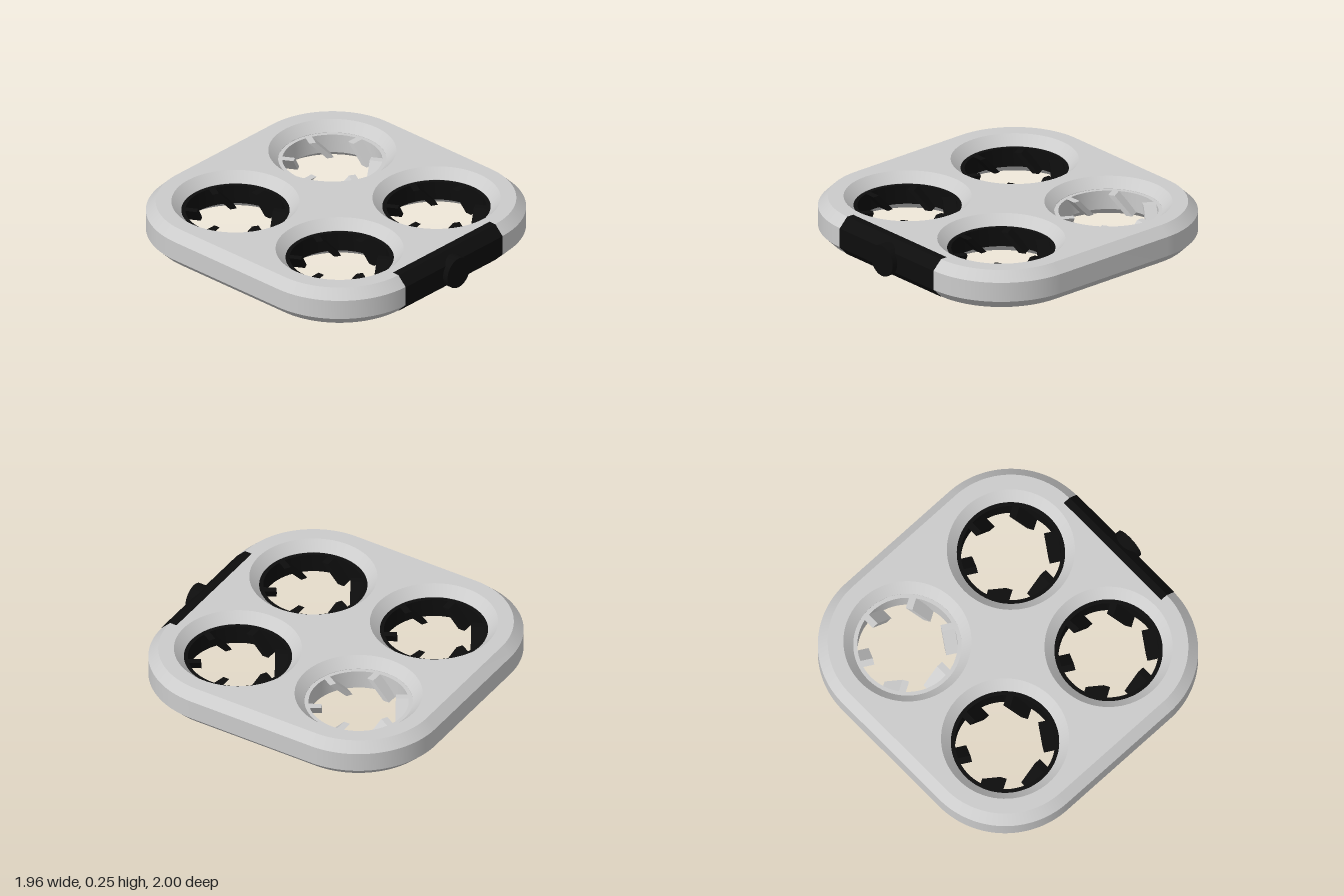
import * as THREE from 'three';
import { toCreasedNormals } from 'three/addons/utils/BufferGeometryUtils.js';

const H = 0.246, BEVEL = 0.06, CZ = -0.02, SPACING = 0.433;
const grey = new THREE.MeshStandardMaterial({ color: 0xcccccc });
const black = new THREE.MeshStandardMaterial({ color: 0x0d0d0d });

function part(name, geometry, material, parent) {
  const mesh = new THREE.Mesh(geometry, material);
  mesh.name = name;
  parent.add(mesh);
  return mesh;
}

// Chamfered rounded square with four holes whose rims are chamfered too
function bodyGeometry() {
  const half = 0.92, r = 0.49, c = half - r;
  const shape = new THREE.Shape();
  shape.moveTo(half, -c);
  [[c, c], [-c, c], [-c, -c], [c, -c]].forEach(([x, y], i) =>
    shape.absarc(x, y, r, i * Math.PI / 2, (i + 1) * Math.PI / 2, false));
  for (const x of [-SPACING, SPACING]) for (const y of [-SPACING, SPACING]) {
    shape.holes.push(new THREE.Path().absarc(x, y, 0.39, 0, Math.PI * 2, true));
  }
  const geo = new THREE.ExtrudeGeometry(shape, {
    depth: H - 2 * BEVEL, bevelThickness: BEVEL, bevelSize: BEVEL, bevelSegments: 1, curveSegments: 40,
  });
  geo.translate(0, 0, BEVEL).rotateX(-Math.PI / 2).translate(0, 0, CZ);
  return toCreasedNormals(geo, 0.4);
}

// Thin sleeve lining each hole
function sleeveGeometry() {
  const profile = [[0.305, 0.062], [0.335, 0.062], [0.335, 0.184], [0.305, 0.184], [0.305, 0.062]]
    .map(([r, y]) => new THREE.Vector2(r, y));
  return toCreasedNormals(new THREE.LatheGeometry(profile, 72), 0.4);
}

// Slanted fin pointing inward from the sleeve wall
function finGeometry() {
  const shape = new THREE.Shape([[-0.078, 0.062], [-0.036, 0.062], [0.078, 0.184], [0.036, 0.184]]
    .map(([x, y]) => new THREE.Vector2(x, y)));
  const geo = new THREE.ExtrudeGeometry(shape, { depth: 0.095, bevelEnabled: false });
  return geo.translate(0, 0, 0.225);
}

// Front cover strip that follows the chamfered edge of the body
function coverGeometry() {
  const e = 0.003, back = 0.855, front = 0.963, inner = front - BEVEL;
  const shape = new THREE.Shape([[back, -e / 3], [inner, -e / 3], [front, BEVEL],
    [front, H - BEVEL], [inner, H + e / 3], [back, H + e / 3]].map(([z, y]) => new THREE.Vector2(-z, y)));
  const geo = new THREE.ExtrudeGeometry(shape, { depth: 0.864, bevelEnabled: false });
  return geo.translate(0, 0, -0.432).rotateY(Math.PI / 2);
}

export function createModel() {
  const model = new THREE.Group();
  model.name = 'fourHolePlate';
  part('body', bodyGeometry(), grey, model);

  // Sleeves with six fins each; the back left one is grey
  const sleeveGeo = sleeveGeometry(), finGeo = finGeometry();
  for (const sx of [-1, 1]) for (const sz of [-1, 1]) {
    const material = sx > 0 && sz < 0 ? grey : black;
    const insert = new THREE.Group();
    insert.name = (sz > 0 ? 'front' : 'back') + (sx > 0 ? 'Left' : 'Right') + 'Insert';
    insert.position.set(sx * SPACING, 0, CZ + sz * SPACING);
    part('sleeve', sleeveGeo, material, insert);
    for (let i = 0; i < 6; i++) {
      part('fin', finGeo, material, insert).rotation.y = Math.PI / 2 + i * Math.PI / 3;
    }
    model.add(insert);
  }

  // Front cover and its round button
  part('frontCover', coverGeometry(), black, model);
  const button = part('button', new THREE.CylinderGeometry(0.1, 0.1, 0.1, 40), black, model);
  button.rotation.x = Math.PI / 2;
  button.position.set(0, H / 2, 0.95);
  return model;
}
